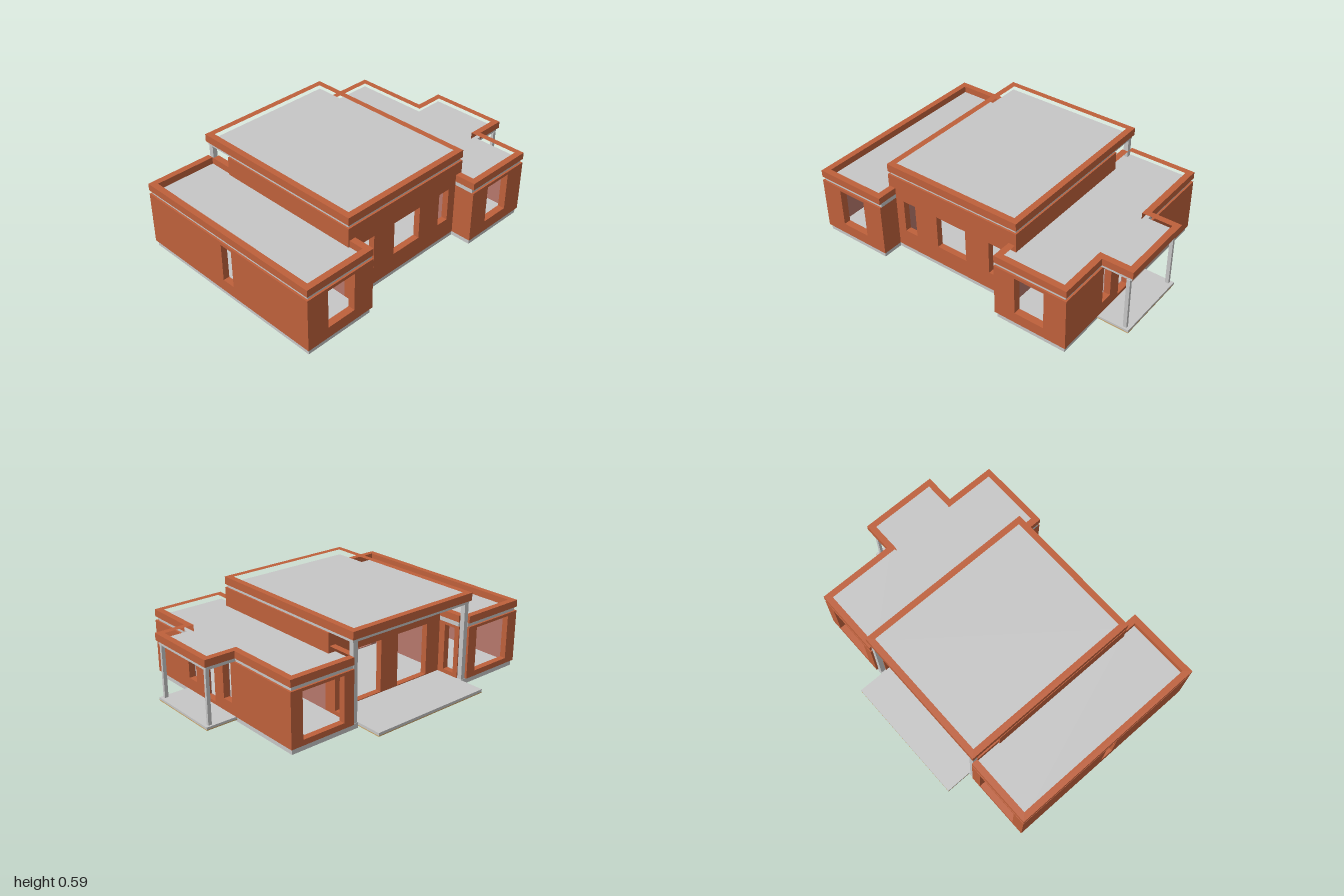
import * as THREE from 'three';

const mat = (name, color) => {
  const m = new THREE.MeshStandardMaterial({ color });
  m.name = name;
  return m;
};

export function createModel() {
  const house = new THREE.Group();
  house.name = 'house';
  const terracotta = mat('terracotta', 0xbe603b);
  const concrete = mat('concrete', 0xc6c6c6);
  const plaster = mat('rosePlaster', 0xb5776b);
  const timber = mat('timber', 0xcca466);

  const add = (name, geometry, material) => {
    const mesh = new THREE.Mesh(geometry, material);
    mesh.name = name;
    house.add(mesh);
    return mesh;
  };
  const outline = (pts) => pts.map(([x, y]) => new THREE.Vector2(x, y));
  const rect = (a0, b0, a1, b1) => [[a0, b0], [a1, b0], [a1, b1], [a0, b1]];
  const extrude = (pts, holes, depth) => {
    const shape = new THREE.Shape(outline(pts));
    for (const h of holes) shape.holes.push(new THREE.Path(outline(h)));
    return new THREE.ExtrudeGeometry(shape, { depth, bevelEnabled: false });
  };

  // Horizontal plate from a plan of [x, z] points
  const plate = (name, material, pts, y0, y1, holes = []) => {
    const flip = (p) => p.map(([x, z]) => [x, -z]);
    const g = extrude(flip(pts), holes.map(flip), y1 - y0);
    g.rotateX(-Math.PI / 2).translate(0, y0, 0);
    return add(name, g, material);
  };
  // Wall running along x; openings are [x0, y0, x1, y1]
  const wallX = (name, material, x0, x1, z0, z1, y0, y1, openings = []) => {
    const g = extrude(rect(Math.min(x0, x1), y0, Math.max(x0, x1), y1),
      openings.map((o) => rect(...o)), z1 - z0);
    return add(name, g.translate(0, 0, z0), material);
  };
  // Wall running along z; openings are [z0, y0, z1, y1]
  const wallZ = (name, material, x0, x1, z0, z1, y0, y1, openings = []) => {
    const g = extrude(rect(-z1, y0, -z0, y1),
      openings.map(([a, b, c, d]) => rect(-c, b, -a, d)), Math.abs(x1 - x0));
    g.rotateY(Math.PI / 2).translate(Math.min(x0, x1), 0, 0);
    return add(name, g, material);
  };
  const box = (name, material, x0, x1, y0, y1, z0, z1) => {
    const g = new THREE.BoxGeometry(Math.abs(x1 - x0), y1 - y0, z1 - z0);
    return add(name, g.translate((x0 + x1) / 2, (y0 + y1) / 2, (z0 + z1) / 2), material);
  };

  const F = 0.035, T = 0.375; // floor and wing wall top

  // Foundation, recessed between the wings
  plate('foundation', concrete, [
    [-0.99, 0.735], [-0.53, 0.735], [-0.53, 0.6], [0.335, 0.6], [0.335, 0.735], [0.795, 0.735],
    [0.795, -0.58], [0.325, -0.58], [0.325, -0.39], [-0.52, -0.39], [-0.52, -0.58], [-0.99, -0.58],
  ], 0, F);

  // Patio and porch floors with timber undersides
  box('patioFloor', concrete, -0.52, 0.325, 0.018, F, -0.75, -0.39);
  box('patioUnderside', timber, -0.52, 0.325, 0.012, 0.018, -0.75, -0.39);
  box('porchFloor', concrete, 0.795, 1, 0.018, 0.032, -0.08, 0.42);
  box('porchUnderside', timber, 0.795, 1, 0.012, 0.018, -0.08, 0.42);

  // Wings, mirrored about the centre of the main hall
  for (const side of [-1, 1]) {
    const m = (x) => (side < 0 ? x : -0.195 - x);
    const opening = ([x0, y0, x1, y1]) => [Math.min(m(x0), m(x1)), y0, Math.max(m(x0), m(x1)), y1];
    const n = side < 0 ? 'rightWing' : 'leftWing';

    wallX(n + 'FrontWall', terracotta, m(-1), m(-0.52), 0.7, 0.745, F, T, [opening([-0.855, 0.105, -0.66, 0.355])]);
    wallX(n + 'BackWall', terracotta, m(-1), m(-0.56), -0.59, -0.55, F, T, [opening([-0.92, 0.07, -0.63, 0.357])]);
    const outer = side < 0 ? [[0.06, 0.11, 0.146, 0.355]]
      : [[0.31, 0.11, 0.39, 0.355], [0.118, 0.055, 0.225, 0.355], [-0.05, 0.11, 0.03, 0.355]];
    wallZ(n + 'OuterWall', terracotta, m(-1), m(-0.96), -0.55, 0.7, F, T, outer);

    // Rose lining of the outer wall
    if (side < 0) {
      wallZ(n + 'Lining', plaster, -0.96, -0.955, 0.2, 0.7, F, T);
      wallZ(n + 'Lining', plaster, -0.96, -0.955, -0.55, 0.05, F, T);
    } else {
      wallZ(n + 'Lining', plaster, m(-0.96), m(-0.955), -0.55, 0.7, F, T, outer);
    }

    // Inner wall: exposed ends in terracotta, partition to the hall in plaster
    wallZ(n + 'FrontReturn', terracotta, m(-0.56), m(-0.52), 0.57, 0.7, F, T);
    wallZ(n + 'PatioReturn', terracotta, m(-0.56), m(-0.52), -0.545, -0.345, F, T, [[-0.51, 0.06, -0.43, 0.357]]);
    wallZ(n + 'Partition', plaster, m(-0.56), m(-0.52), -0.345, 0.57, F, T, [[0.06, 0.04, 0.19, 0.36]]);

    // Column at the corner of the patio
    box('patioColumn', concrete, m(-0.556), m(-0.525), F, 0.525, -0.578, -0.546);

    // Roof slab and parapet; one wing also covers the porch
    const inner = [[m(-0.52), -0.54], [m(-0.56), -0.54]];
    const roof = (e) => {
      const pts = [[m(-0.52), 0.745 - e], ...inner, [m(-0.56), -0.59 + e], [m(-1 + e), -0.59 + e]];
      if (side > 0) {
        pts.push([m(-1 + e), -0.095 + e], [1 - e, -0.095 + e], [1 - e, 0.415 - e], [m(-1 + e), 0.415 - e]);
      }
      pts.push([m(-1 + e), 0.745 - e]);
      return pts;
    };
    const well = [[m(-0.562), 0.705], [m(-0.562), -0.55], [m(-0.96), -0.55]];
    if (side > 0) well.push([m(-0.96), -0.055], [0.96, -0.055], [0.96, 0.375], [m(-0.96), 0.375]);
    well.push([m(-0.96), 0.705]);
    plate(n + 'RoofSlab', concrete, roof(0.012), T, 0.402);
    plate(n + 'Parapet', terracotta, roof(0), 0.4, 0.445, [well]);
  }

  // Main hall: front wall, glazed back wall and raised clerestory
  wallX('hallFrontWall', terracotta, -0.52, 0.325, 0.57, 0.61, F, T, [
    [-0.46, 0.155, -0.37, 0.373], [-0.205, 0.155, 0.01, 0.373], [0.18, 0.155, 0.265, 0.373],
  ]);
  wallX('hallBackWall', terracotta, -0.52, 0.325, -0.385, -0.345, F, T + 0.005, [
    [-0.41, 0.04, -0.165, 0.375], [-0.03, 0.04, 0.21, 0.375],
  ]);
  plate('clerestory', terracotta, rect(-0.57, -0.385, 0.375, 0.61), T, 0.525, [rect(-0.53, -0.345, 0.335, 0.57)]);

  // Cross partitions with doorways
  wallX('crossPartition', plaster, -0.52, -0.25, 0.18, 0.21, F, T, [[-0.48, 0.04, -0.3, 0.315]]);
  wallX('crossPartition', plaster, 0.09, 0.325, 0.18, 0.21, F, T, [[0.13, 0.04, 0.29, 0.315]]);

  // Hall roof oversailing the patio
  plate('hallRoofSlab', concrete, rect(-0.56, -0.578, 0.365, 0.598), 0.525, 0.548);
  plate('hallParapet', terracotta, rect(-0.57, -0.59, 0.375, 0.61), 0.546, 0.595, [rect(-0.53, -0.55, 0.335, 0.57)]);

  // Slim porch posts
  for (const z of [-0.058, 0.398]) box('porchPost', concrete, 0.957, 0.98, 0.032, T, z - 0.009, z + 0.009);

  return house;
}
